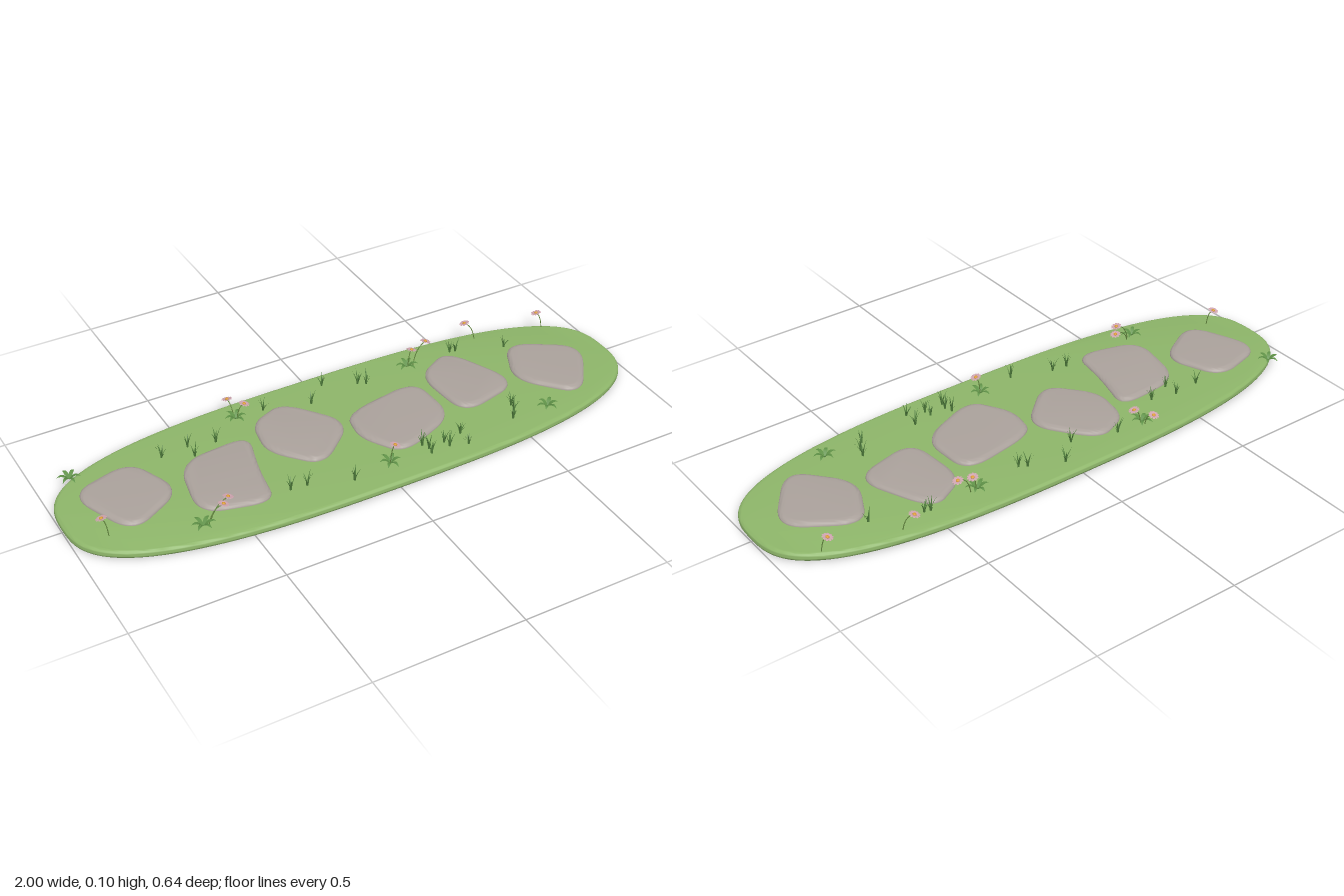
import * as THREE from 'three';
import { mergeGeometries, toCreasedNormals } from 'three/addons/utils/BufferGeometryUtils.js';

const GROUND = 0.027;

function material(name, color, side = THREE.FrontSide) {
  const m = new THREE.MeshStandardMaterial({ color, side });
  m.name = name;
  return m;
}

function seeded(seed) {
  return () => (seed = (seed * 16807) % 2147483647) / 2147483647;
}

// Flat slab with a rounded rim, from a plan outline of [x, z] points
function slab(shape, bottom, top, rim, rimHeight) {
  const geo = new THREE.ExtrudeGeometry(shape, {
    depth: top - bottom - 2 * rimHeight, curveSegments: 10, bevelEnabled: true,
    bevelSize: rim, bevelOffset: -rim, bevelThickness: rimHeight, bevelSegments: 5,
  });
  geo.rotateX(-Math.PI / 2);
  geo.translate(0, bottom + rimHeight, 0);
  return toCreasedNormals(geo, 0.7);
}

// Polygon whose corners are replaced by curves
function roundedShape(points, cut = 0.36) {
  const p = points.map(([x, z]) => new THREE.Vector2(x, -z));
  const shape = new THREE.Shape();
  p.forEach((c, i) => {
    const a = c.clone().lerp(p[(i + p.length - 1) % p.length], cut);
    const b = c.clone().lerp(p[(i + 1) % p.length], cut);
    if (i === 0) shape.moveTo(a.x, a.y);
    else shape.lineTo(a.x, a.y);
    shape.quadraticCurveTo(c.x, c.y, b.x, b.y);
  });
  shape.closePath();
  return shape;
}

// Curved leaf strip: reaches outward along +z while following height(t)
function leaf(width, reach, height, widthAt, turn) {
  const geo = new THREE.PlaneGeometry(1, 1, 1, 5);
  const pos = geo.attributes.position;
  for (let i = 0; i < pos.count; i++) {
    const t = pos.getY(i) + 0.5;
    pos.setXYZ(i, pos.getX(i) * width * widthAt(t), height(t), reach(t));
  }
  geo.rotateY(turn);
  geo.computeVertexNormals();
  return geo;
}

export function createModel() {
  const model = new THREE.Group();
  model.name = 'gardenPath';
  const lawn = material('lawn green', 0x8db569);
  const stone = material('stone grey', 0xaaa19b);
  const grass = material('grass green', 0x4f7d3c, THREE.DoubleSide);
  const foliage = material('leaf green', 0x5f9147, THREE.DoubleSide);
  const stemGreen = material('stem green', 0x64883f);
  const petal = material('petal pink', 0xcfa5b0, THREE.DoubleSide);
  const pollen = material('flower centre yellow', 0xdb9c35);

  const add = (parent, name, geo, mat) => {
    const mesh = new THREE.Mesh(geo, mat);
    mesh.name = name;
    parent.add(mesh);
    return mesh;
  };

  // Lawn: superellipse slab
  const outline = [];
  for (let i = 0; i < 128; i++) {
    const a = (i / 128) * Math.PI * 2;
    const c = Math.cos(a), s = Math.sin(a), e = 2 / 2.8;
    outline.push(new THREE.Vector2(
      Math.sign(c) * Math.abs(c) ** e,
      0.32 * Math.sign(s) * Math.abs(s) ** e));
  }
  add(model, 'lawn', slab(new THREE.Shape(outline), 0, GROUND, 0.012, 0.012), lawn);

  // Stepping stones
  const stones = [
    [[-0.93, -0.12], [-0.70, -0.185], [-0.615, 0.02], [-0.825, 0.14]],
    [[-0.57, -0.10], [-0.31, -0.125], [-0.36, 0.05], [-0.385, 0.215], [-0.62, 0.155]],
    [[-0.275, -0.175], [-0.14, -0.23], [0.01, -0.03], [-0.17, 0.13], [-0.30, -0.02]],
    [[0.015, -0.07], [0.31, -0.125], [0.32, 0.10], [0.08, 0.20], [-0.005, 0.06]],
    [[0.34, -0.14], [0.495, -0.225], [0.615, 0.05], [0.36, 0.115]],
    [[0.70, -0.165], [0.93, -0.02], [0.765, 0.215], [0.605, 0.03]],
  ];
  stones.forEach((s, i) =>
    add(model, `steppingStone${i + 1}`, slab(roundedShape(s), 0.006, 0.04, 0.02, 0.012), stone));

  // Grass tufts
  const tufts = [
    [-0.60, -0.16], [-0.505, -0.17], [-0.505, -0.115], [-0.415, -0.15], [-0.205, -0.23],
    [-0.05, -0.185], [0.03, -0.26], [0.14, -0.21], [0.165, -0.195], [0.51, -0.22],
    [0.53, -0.215], [0.69, -0.155], [-0.32, 0.185], [-0.265, 0.19], [-0.125, 0.24],
    [0.15, 0.19], [0.155, 0.24], [0.16, 0.215], [0.22, 0.21], [0.225, 0.235],
    [0.285, 0.255], [0.29, 0.195], [0.51, 0.175], [0.52, 0.145], [0.485, 0.21],
  ];
  const rand = seeded(7);
  tufts.forEach(([x, z], i) => {
    const blades = [];
    for (let k = 0; k < 7; k++) {
      const h = 0.028 + 0.028 * rand(), out = 0.008 + 0.012 * rand();
      blades.push(leaf(0.006, t => 0.002 + out * t * t, t => h * t,
        t => 1 - 0.95 * t ** 1.5, (k + rand()) * Math.PI * 2 / 7));
    }
    add(model, `grassTuft${i + 1}`, mergeGeometries(blades), grass).position.set(x, GROUND - 0.001, z);
  });

  // Low leaf rosettes
  const rosettes = [[-0.895, -0.20], [-0.305, -0.23], [-0.63, 0.21], [0.015, 0.22], [0.62, 0.21], [0.335, -0.215]];
  rosettes.forEach(([x, z], i) => {
    const leaves = [];
    for (let k = 0; k < 6; k++) {
      const len = 0.034 + 0.008 * rand();
      leaves.push(leaf(0.014, t => len * t, t => 0.018 * Math.sin(t * 2.4),
        t => 0.1 + 0.9 * Math.sin(Math.PI * t ** 0.8) * (1 - 0.1 * t), (k + 0.4 * rand()) * Math.PI / 3));
    }
    add(model, `leafRosette${i + 1}`, mergeGeometries(leaves), foliage).position.set(x, GROUND, z);
  });

  // Flowers: [root x, root z, head x, head z, head height]
  const flowers = [
    [-0.893, 0.113, -0.905, 0.095, 0.085], [-0.305, -0.245, -0.31, -0.28, 0.076],
    [-0.30, -0.23, -0.275, -0.225, 0.08], [-0.61, 0.21, -0.56, 0.212, 0.086],
    [-0.60, 0.20, -0.53, 0.18, 0.08], [0.015, 0.22, 0.03, 0.222, 0.094],
    [0.34, -0.215, 0.357, -0.222, 0.084], [0.36, -0.215, 0.414, -0.226, 0.098],
    [0.63, -0.25, 0.602, -0.273, 0.084], [0.875, -0.195, 0.86, -0.21, 0.081],
  ];
  const petals = [];
  for (let k = 0; k < 10; k++) {
    petals.push(leaf(0.009, t => 0.003 + 0.015 * t, t => 0.0025 * Math.sin(t * 2.5),
      t => 0.35 + 0.65 * Math.sin(Math.PI * (0.15 + 0.75 * t)), k * Math.PI / 5));
  }
  const petalRing = mergeGeometries(petals);
  const centre = new THREE.SphereGeometry(0.0062, 12, 8).scale(1, 0.6, 1).translate(0, 0.002, 0);
  flowers.forEach(([rx, rz, hx, hz, h], i) => {
    const flower = new THREE.Group();
    flower.name = `flower${i + 1}`;
    const root = new THREE.Vector3(rx, GROUND - 0.003, rz);
    const tip = new THREE.Vector3(hx, h, hz);
    const bend = new THREE.Vector3(rx + (hx - rx) * 0.2, h * 0.95, rz + (hz - rz) * 0.2);
    add(flower, 'stem', new THREE.TubeGeometry(
      new THREE.QuadraticBezierCurve3(root, bend, tip), 10, 0.0016, 6), stemGreen);

    // Head tips gently in the direction of the lean
    const head = new THREE.Group();
    head.name = 'flowerHead';
    head.position.copy(tip);
    const lean = new THREE.Vector3(hx - rx, 0, hz - rz).normalize().multiplyScalar(0.28);
    head.quaternion.setFromUnitVectors(new THREE.Vector3(0, 1, 0), lean.setY(1).normalize());
    add(head, 'petals', petalRing, petal);
    add(head, 'flowerCentre', centre, pollen);
    flower.add(head);
    model.add(flower);
  });

  return model;
}
